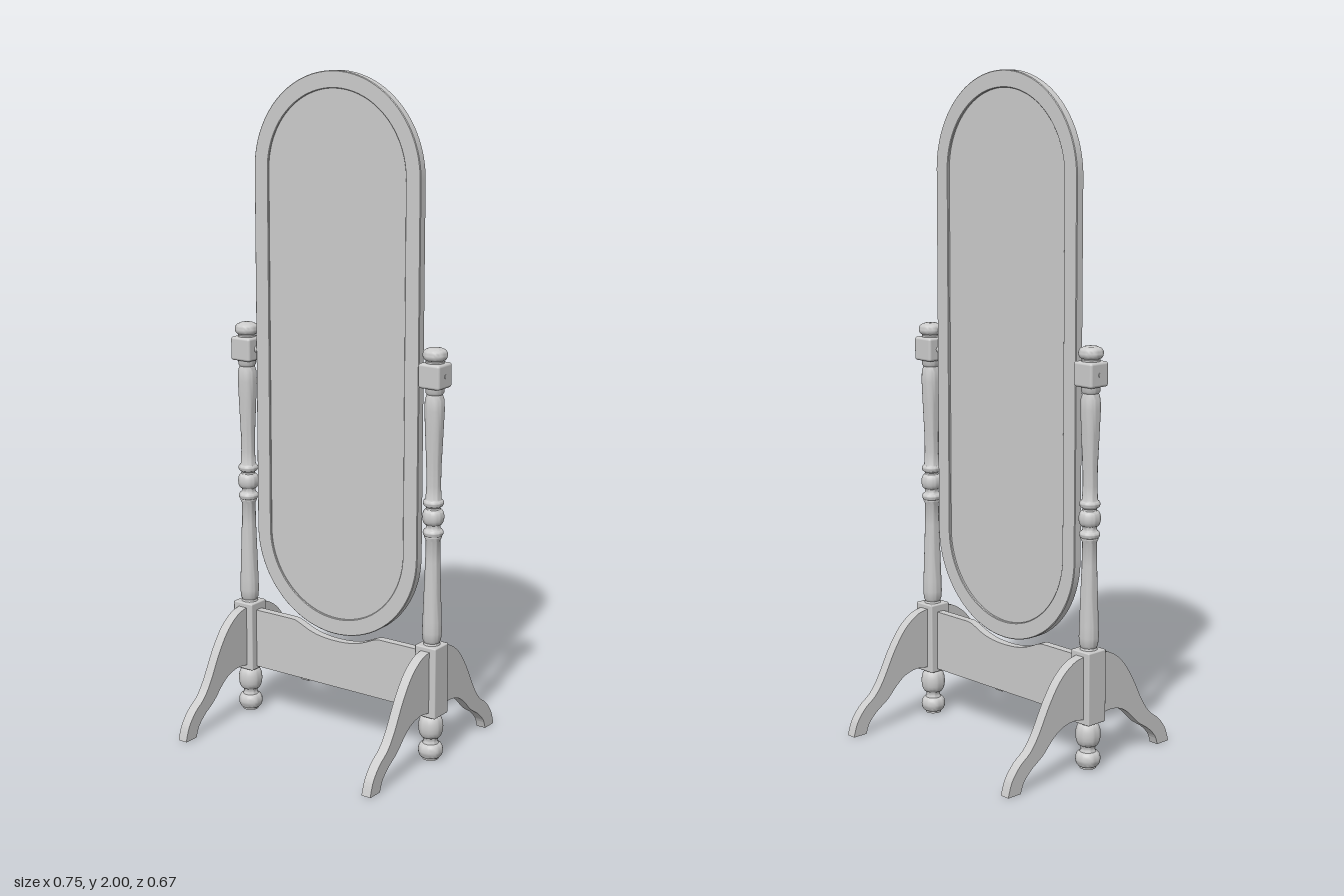
import * as THREE from 'three';
import { toCreasedNormals } from 'three/addons/utils/BufferGeometryUtils.js';
import { RoundedBoxGeometry } from 'three/addons/geometries/RoundedBoxGeometry.js';

const material = new THREE.MeshStandardMaterial({ color: 0xcccccc });
const POST_X = 0.338;

function add(parent, name, geometry, x = 0, y = 0, z = 0) {
  const mesh = new THREE.Mesh(geometry, material);
  mesh.name = name;
  mesh.position.set(x, y, z);
  parent.add(mesh);
  return mesh;
}

// Upright stadium outline with semicircular ends
function stadium(r, target = new THREE.Shape()) {
  const low = 0.612, high = 1.708;
  target.moveTo(r, low);
  target.lineTo(r, high);
  target.absarc(0, high, r, 0, Math.PI, false);
  target.lineTo(-r, low);
  target.absarc(0, low, r, Math.PI, Math.PI * 2, false);
  return target;
}

// Extrusion centred on its depth, smooth along curves and sharp at corners
function slab(shape, depth, bevel = 0) {
  const g = new THREE.ExtrudeGeometry(shape, {
    depth: depth - 2 * bevel, curveSegments: 28, bevelEnabled: bevel > 0,
    bevelThickness: bevel, bevelSize: bevel, bevelOffset: -bevel, bevelSegments: 1,
  });
  g.translate(0, 0, -depth / 2 + bevel);
  return toCreasedNormals(g, 0.5);
}

function turned(profile) {
  const points = profile.map(([r, y]) => new THREE.Vector2(r, y));
  return toCreasedNormals(new THREE.LatheGeometry(points, 32), 0.75);
}

// Half-round bead in a turned profile, listed from bottom to top
function bead(y, halfHeight, neck, radius) {
  return Array.from({ length: 9 }, (_, i) => {
    const a = -Math.PI / 2 + (i * Math.PI) / 8;
    return [neck + (radius - neck) * Math.cos(a), y + halfHeight * Math.sin(a)];
  });
}

function legShape() {
  const s = new THREE.Shape();
  s.moveTo(0.03, 0.345);
  s.splineThru([[0.075, 0.335], [0.125, 0.3], [0.17, 0.24], [0.217, 0.155], [0.25, 0.112],
    [0.29, 0.082], [0.32, 0.045], [0.335, 0.005]].map(p => new THREE.Vector2(...p)));
  s.lineTo(0.335, 0);
  s.lineTo(0.287, 0);
  s.splineThru([[0.275, 0.03], [0.245, 0.06], [0.2, 0.09], [0.16, 0.128], [0.125, 0.151],
    [0.08, 0.161], [0.03, 0.155]].map(p => new THREE.Vector2(...p)));
  s.closePath();
  return s;
}

export function createModel() {
  const model = new THREE.Group();
  model.name = 'standingMirror';

  // Tilting mirror: frame with a recessed pane
  const tilting = new THREE.Group();
  tilting.name = 'tiltingMirror';
  model.add(tilting);
  const frame = stadium(0.292);
  frame.holes.push(stadium(0.242, new THREE.Path()));
  add(tilting, 'mirrorFrame', slab(frame, 0.027, 0.002));
  add(tilting, 'mirrorPane', slab(stadium(0.244), 0.014), 0, 0, 0.001);

  // Apron board with a shallow dip under the mirror
  const apron = new THREE.Shape();
  apron.moveTo(-0.32, 0.15);
  apron.lineTo(0.32, 0.15);
  apron.lineTo(0.32, 0.335);
  apron.lineTo(0.165, 0.335);
  apron.bezierCurveTo(0.125, 0.335, 0.11, 0.298, 0, 0.298);
  apron.bezierCurveTo(-0.11, 0.298, -0.125, 0.335, -0.165, 0.335);
  apron.lineTo(-0.32, 0.335);
  apron.closePath();
  add(model, 'apron', slab(apron, 0.026));

  const footTurning = turned([
    [0, 0], [0.024, 0], ...bead(0.028, 0.022, 0.024, 0.037), [0.021, 0.056], [0.022, 0.064],
    ...bead(0.102, 0.034, 0.023, 0.037), [0.024, 0.142], [0, 0.142],
  ]);
  const spindle = turned([
    [0, 0.355], [0.026, 0.355], [0.023, 0.364], [0.027, 0.372], [0.029, 0.395], [0.028, 0.43],
    [0.025, 0.52], [0.022, 0.61], [0.021, 0.675], [0.026, 0.685],
    ...bead(0.698, 0.009, 0.025, 0.03), [0.021, 0.712],
    ...bead(0.745, 0.023, 0.021, 0.032), [0.021, 0.774],
    ...bead(0.787, 0.009, 0.025, 0.03), [0.023, 0.8],
    [0.021, 0.84], [0.022, 0.9], [0.026, 0.99], [0.029, 1.06], [0.028, 1.09],
    [0.023, 1.106], [0.027, 1.112], [0.027, 1.13], [0, 1.13],
  ]);
  const finial = turned([
    [0.027, 1.19], [0.027, 1.202], [0.024, 1.205],
    ...bead(1.22, 0.016, 0.024, 0.036), [0.019, 1.239], [0, 1.24],
  ]);
  const legs = slab(legShape(), 0.03);

  for (const [side, s] of [['left', 1], ['right', -1]]) {
    const stand = new THREE.Group();
    stand.name = side + 'Stand';
    stand.position.x = s * POST_X;
    model.add(stand);

    // Post: turned foot, square block, spindle, pivot block and finial
    add(stand, 'footTurning', footTurning);
    add(stand, 'lowerBlock', new RoundedBoxGeometry(0.072, 0.218, 0.072, 2, 0.004), 0, 0.249);
    add(stand, 'spindle', spindle);
    add(stand, 'pivotBlock', new RoundedBoxGeometry(0.072, 0.072, 0.072, 3, 0.008), 0, 1.161);
    add(stand, 'finial', finial);

    // Pivot pin joining the frame, with its end showing outside
    const pin = add(stand, 'pivotPin', new THREE.CylinderGeometry(0.01, 0.01, 0.09, 16), -s * 0.009, 1.161);
    pin.rotation.z = Math.PI / 2;
    const cap = add(stand, 'pinCap', new THREE.CylinderGeometry(0.007, 0.007, 0.01, 16), s * 0.033, 1.161);
    cap.rotation.z = Math.PI / 2;

    // Curved legs to the front and back
    add(stand, 'frontLeg', legs).rotation.y = -Math.PI / 2;
    add(stand, 'backLeg', legs).rotation.y = Math.PI / 2;
  }
  return model;
}
